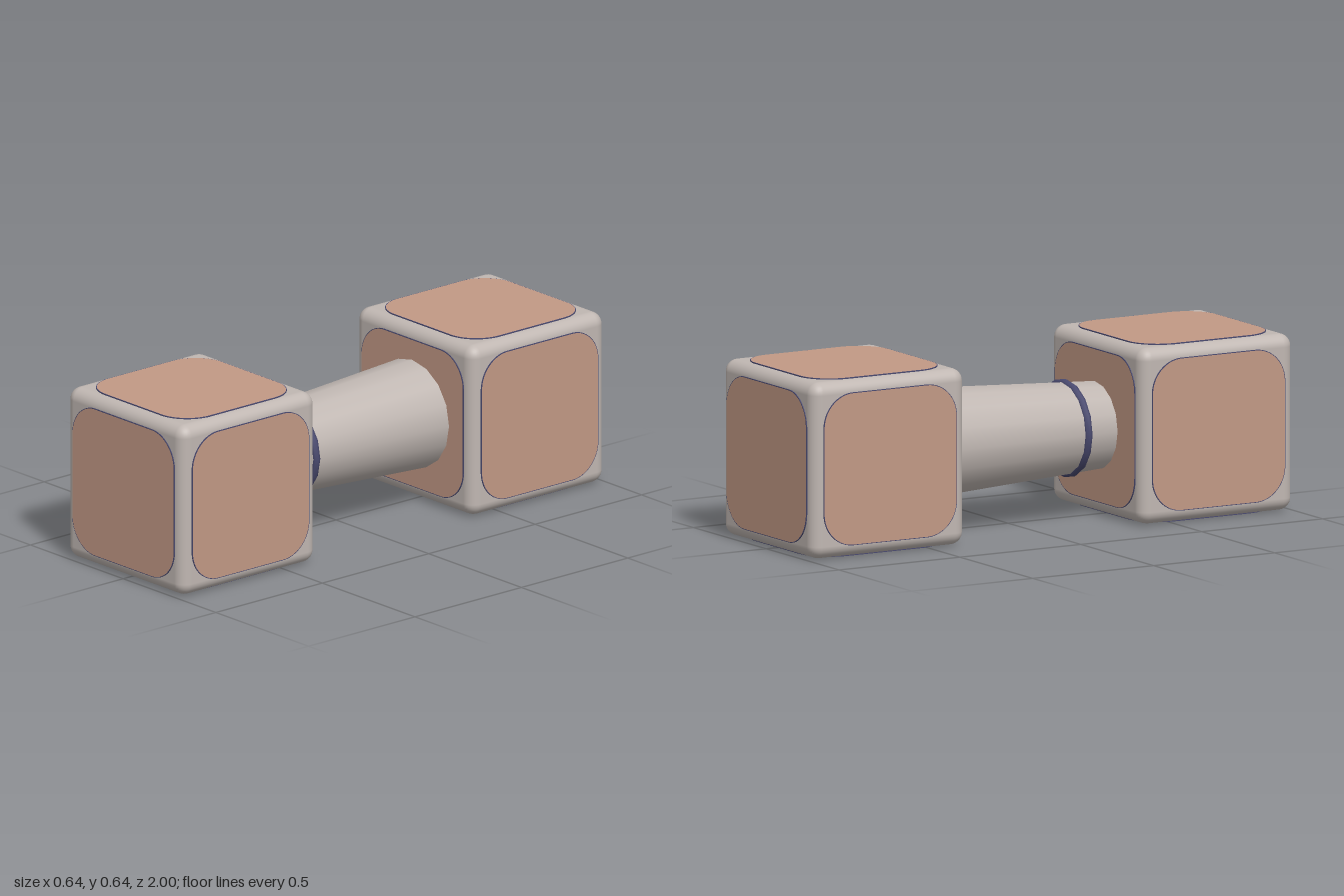
import * as THREE from 'three';
import { RoundedBoxGeometry } from 'three/addons/geometries/RoundedBoxGeometry.js';

const makeMaterial = (name, color) => new THREE.MeshStandardMaterial({ name, color });

// Square outline with rounded corners, centred on the origin
function roundedSquare(half, r) {
  const c = half - r;
  const s = new THREE.Shape();
  s.absarc(c, c, r, 0, Math.PI / 2);
  s.absarc(-c, c, r, Math.PI / 2, Math.PI);
  s.absarc(-c, -c, r, Math.PI, Math.PI * 1.5);
  s.absarc(c, -c, r, Math.PI * 1.5, Math.PI * 2);
  s.closePath();
  return s;
}

export function createModel() {
  const grey = makeMaterial('warm grey', 0xc0b7b2);
  const tan = makeMaterial('dusty tan', 0xc29985);
  const navy = makeMaterial('dark slate blue', 0x4a4a70);

  const model = new THREE.Group();
  model.name = 'dumbbell';
  const add = (parent, name, geometry, material) => {
    const mesh = new THREE.Mesh(geometry, material);
    mesh.name = name;
    parent.add(mesh);
    return mesh;
  };

  const HALF = 0.317;      // half the cube's edge
  const CENTRE_Y = 0.321;
  const CENTRE_Z = 0.679;

  const cubeGeometry = new RoundedBoxGeometry(HALF * 2, HALF * 2, HALF * 2, 4, 0.045);
  const rimGeometry = new THREE.ExtrudeGeometry(roundedSquare(0.275, 0.122), {
    depth: 0.0055, bevelEnabled: false, curveSegments: 10,
  });
  const panelGeometry = new THREE.ShapeGeometry(roundedSquare(0.2725, 0.1195), 10);

  // Weights: a rounded cube with a dark-rimmed panel on every side
  for (const [name, side] of [['front', 1], ['back', -1]]) {
    const weight = new THREE.Group();
    weight.name = name + 'Weight';
    weight.position.set(0, CENTRE_Y, side * CENTRE_Z);
    add(weight, 'cube', cubeGeometry, grey);
    const turns = [[0, 0], [0, 1], [0, 2], [0, 3], [1, 0], [-1, 0]];
    for (const [rx, ry] of turns) {
      const face = new THREE.Group();
      face.name = 'facePanel';
      face.rotation.set(rx * Math.PI / 2, ry * Math.PI / 2, 0);
      add(face, 'panelRim', rimGeometry, navy).position.z = HALF - 0.002;
      add(face, 'panel', panelGeometry, tan).position.z = HALF + 0.004;
      weight.add(face);
    }
    model.add(weight);
  }

  // Handle, tapering towards the front
  const handle = add(model, 'handle', new THREE.CylinderGeometry(0.158, 0.199, 0.73, 16, 1, true), grey);
  handle.rotation.x = Math.PI / 2;
  handle.position.y = CENTRE_Y;

  // Trim ring near the front end of the handle
  const ring = add(model, 'handleRing', new THREE.TorusGeometry(0.161, 0.016, 8, 16), navy);
  ring.position.set(0, CENTRE_Y, 0.235);

  return model;
}
